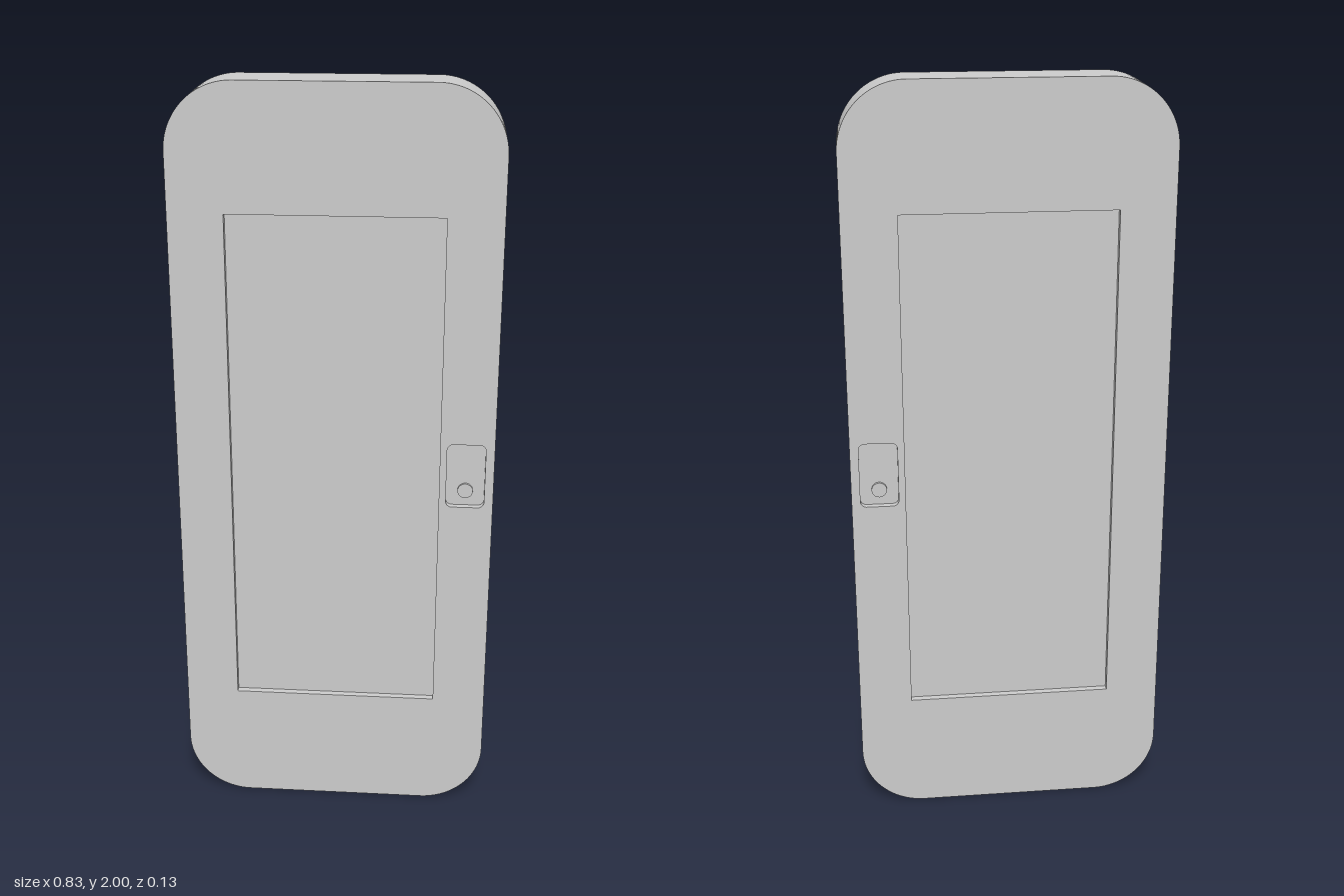
import * as THREE from 'three';
import { toCreasedNormals } from 'three/addons/utils/BufferGeometryUtils.js';

const DEPTH = 0.132;    // door thickness
const RECESS = 0.018;   // how far panel and latch plates sit back
const material = new THREE.MeshStandardMaterial({ color: 0xcccccc });

// Rounded rectangle centred on (cx, cy); r = 0 gives sharp corners
function outline(target, cx, cy, w, h, r) {
  const x = w / 2, y = h / 2;
  if (r === 0) {
    target.moveTo(cx - x, cy - y).lineTo(cx + x, cy - y)
      .lineTo(cx + x, cy + y).lineTo(cx - x, cy + y).closePath();
    return target;
  }
  target.moveTo(cx - x + r, cy - y);
  target.absarc(cx + x - r, cy - y + r, r, -Math.PI / 2, 0);
  target.absarc(cx + x - r, cy + y - r, r, 0, Math.PI / 2);
  target.absarc(cx - x + r, cy + y - r, r, Math.PI / 2, Math.PI);
  target.absarc(cx - x + r, cy - y + r, r, Math.PI, Math.PI * 1.5);
  target.closePath();
  return target;
}

// Extrude a shape symmetrically about z = 0
function slab(name, shape, depth) {
  const geometry = new THREE.ExtrudeGeometry(shape, { depth, bevelEnabled: false, curveSegments: 16 });
  geometry.translate(0, 0, -depth / 2);
  const mesh = new THREE.Mesh(toCreasedNormals(geometry, Math.PI / 6), material);
  mesh.name = name;
  return mesh;
}

export function createModel() {
  const group = new THREE.Group();
  group.name = 'door';

  const panel = [0, 1.003, 0.546, 1.354, 0];
  const pocket = [0.341, 1.003, 0.1, 0.176, 0.016];

  // Door frame with openings for the panel and latch pocket
  const frame = outline(new THREE.Shape(), 0, 1, 0.828, 2, 0.17);
  frame.holes.push(outline(new THREE.Path(), ...panel), outline(new THREE.Path(), ...pocket));
  group.add(slab('doorFrame', frame, DEPTH));

  // Inset panel and latch plate, recessed on both sides
  const inner = DEPTH - 2 * RECESS;
  group.add(slab('insetPanel', outline(new THREE.Shape(), ...panel), inner));
  group.add(slab('latchPlate', outline(new THREE.Shape(), ...pocket), inner));

  // Small round button in the pocket on each side
  for (const side of [1, -1]) {
    const button = new THREE.Mesh(new THREE.CylinderGeometry(0.02, 0.02, 0.008, 32), material);
    button.name = side > 0 ? 'frontButton' : 'backButton';
    button.rotation.x = side * Math.PI / 2;
    button.position.set(0.341, 0.957, side * (inner / 2 + 0.003));
    group.add(button);
  }
  return group;
}
